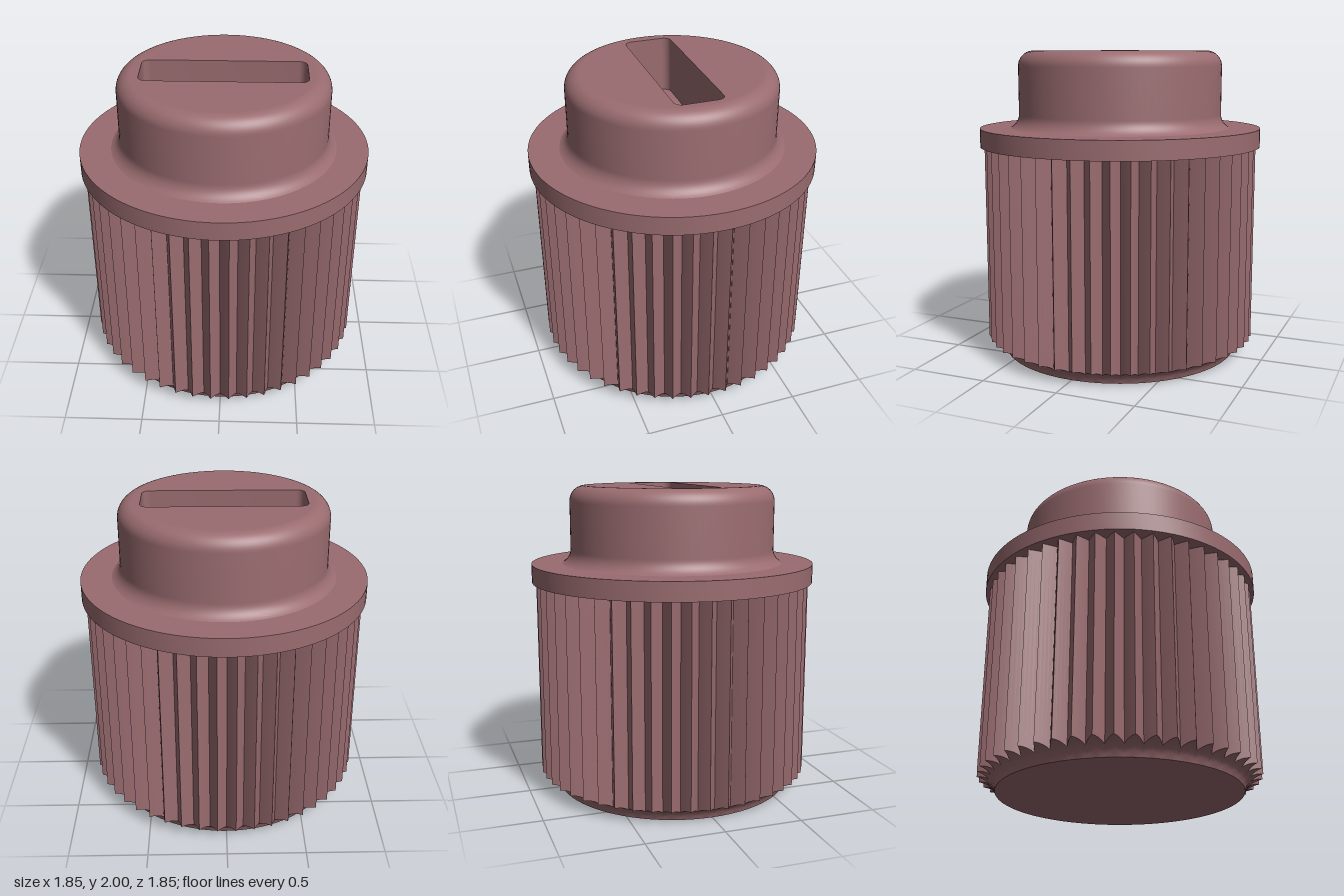
import * as THREE from 'three';
import { toCreasedNormals } from 'three/addons/utils/BufferGeometryUtils.js';

const TEETH = 48, STEPS = 8, TIP = 0.9, ROOT = 0.82, TOP = 1.38;

// Radius of the pointed ribs at an angle
function ribRadius(a) {
  const t = ((a * TEETH / (Math.PI * 2)) % 1 + 1) % 1;
  return ROOT + (TIP - ROOT) * (1 - Math.abs(2 * t - 1));
}

// Ribbed body whose foot is cut by a concave fillet
function bodyGeometry() {
  const rows = 8, foot = 0.783;
  const profile = [new THREE.Vector2(0, 0)];
  for (let i = 0; i <= rows; i++) profile.push(new THREE.Vector2(foot, i * 0.01));
  profile.push(new THREE.Vector2(TIP, TOP));
  const geo = new THREE.LatheGeometry(profile, TEETH * STEPS);
  const p = geo.attributes.position, n = profile.length;
  for (let i = 0; i < p.count; i++) {
    const row = i % n;
    if (row === 0) continue;
    const a = Math.floor(i / n) / (TEETH * STEPS) * Math.PI * 2;
    const rib = ribRadius(a);
    const r = row === n - 1 ? rib : foot + (rib - foot) * (row - 1) / rows;
    const y = row === n - 1 ? TOP : Math.max(0, -0.025 + Math.sqrt(0.0144 - (TIP - r) ** 2));
    p.setXYZ(i, Math.sin(a) * r, row === 1 ? 0 : y, Math.cos(a) * r);
  }
  return toCreasedNormals(geo, 0.5);
}

// Points along an arc, angles in degrees
function arc(cx, cy, r, from, to, n = 10) {
  return Array.from({ length: n + 1 }, (_, i) => {
    const a = THREE.MathUtils.degToRad(from + (to - from) * i / n);
    return new THREE.Vector2(cx + r * Math.cos(a), cy + r * Math.sin(a));
  });
}

function roundedRect(path, w, h, r) {
  const corners = [[w - r, h - r, 0], [r - w, h - r, 90], [r - w, r - h, 180], [w - r, r - h, 270]];
  return path.setFromPoints(corners.flatMap(([x, y, a]) => arc(x, y, r, a, a + 90, 6)));
}

export function createModel() {
  const group = new THREE.Group();
  const material = new THREE.MeshStandardMaterial({ color: 0x9a6c70 });
  material.name = 'dusty rose';
  const add = (name, geo) => {
    const mesh = new THREE.Mesh(geo, material);
    mesh.name = name;
    group.add(mesh);
    return mesh;
  };

  add('ribbedBody', bodyGeometry());

  // Flange disc
  const flange = [[0.75, TOP], [0.927, TOP], [0.927, 1.5], [0.66, 1.5]].map(([x, y]) => new THREE.Vector2(x, y));
  add('flange', toCreasedNormals(new THREE.LatheGeometry(flange, 96), 0.5));

  // Head with a flared foot and a rounded top edge
  const head = [...arc(0.77, 1.59, 0.1, 244, 180), ...arc(0.57, 1.9, 0.1, 0, 90)];
  add('head', toCreasedNormals(new THREE.LatheGeometry(head, 96), 0.5));

  // Top face with the slot, whose walls run down inside the head
  const disc = new THREE.Shape(arc(0, 0, 0.57, 0, 360, 96).slice(0, 96));
  disc.holes.push(roundedRect(new THREE.Path(), 0.52, 0.155, 0.05));
  const slot = new THREE.ExtrudeGeometry(disc, { depth: 0.7, bevelEnabled: false });
  slot.rotateX(-Math.PI / 2).translate(0, 1.3, 0);
  add('slottedTop', toCreasedNormals(slot, 0.5));

  // Stepped slot floor: rounded shelves either side of a deeper well
  const right = arc(0.29, 1.55, 0.08, 180, 90, 8);
  const left = arc(-0.29, 1.55, 0.08, 90, 0, 8);
  const floor = new THREE.Shape([
    new THREE.Vector2(-0.53, 1.28), new THREE.Vector2(0.53, 1.28), new THREE.Vector2(0.53, 1.63),
    ...right.reverse(), new THREE.Vector2(0.21, 1.32), new THREE.Vector2(-0.21, 1.32),
    ...left.reverse(), new THREE.Vector2(-0.53, 1.63),
  ]);
  const floorGeo = new THREE.ExtrudeGeometry(floor, { depth: 0.32, bevelEnabled: false });
  floorGeo.translate(0, 0, -0.16);
  add('slotFloor', toCreasedNormals(floorGeo, 0.5));

  return group;
}
